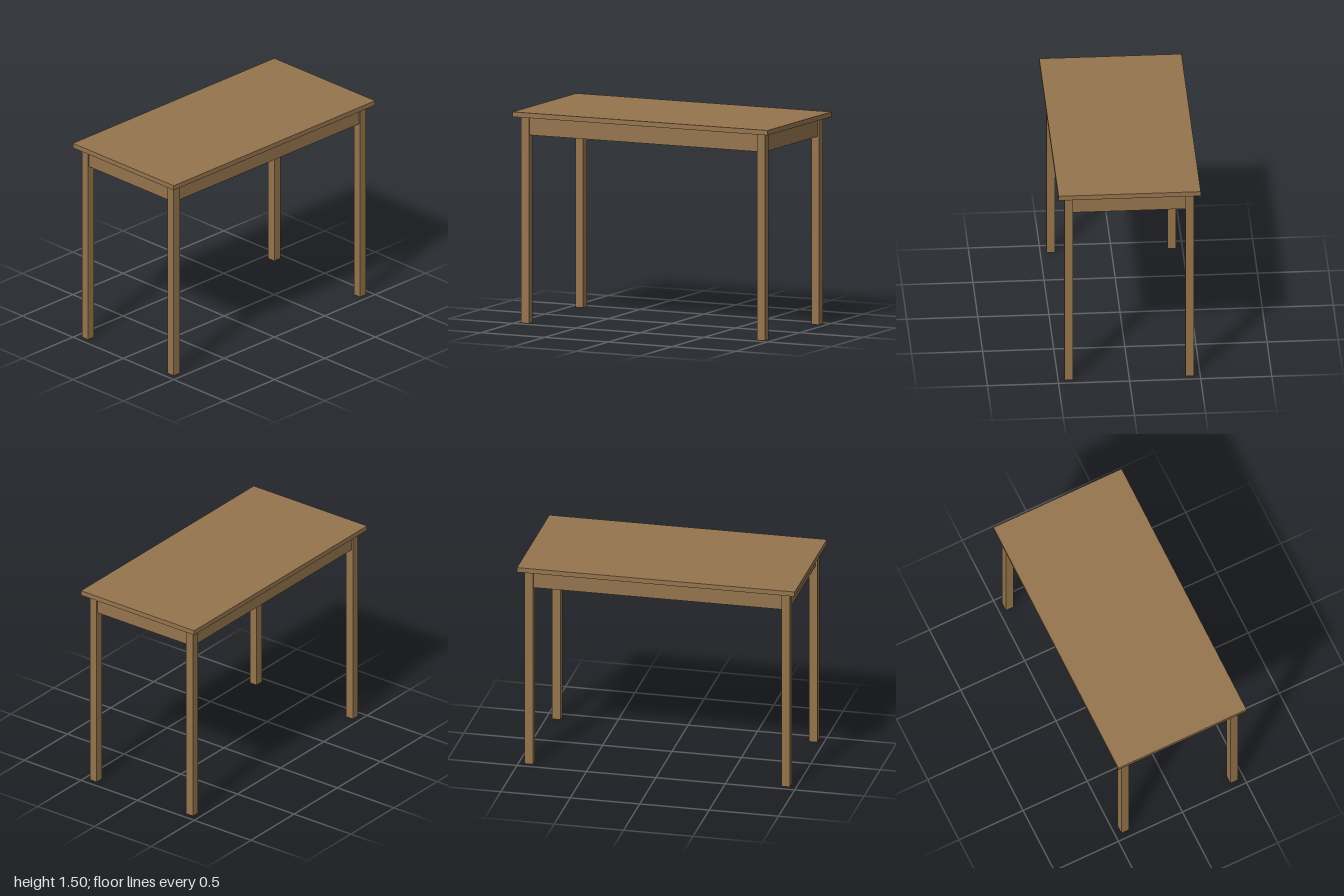
import * as THREE from 'three';

export function createModel() {
  const table = new THREE.Group();
  table.name = 'table';
  const wood = new THREE.MeshStandardMaterial({ color: 0x95744d });
  wood.name = 'wood';

  const addBox = (name, w, h, d, x, y, z) => {
    const mesh = new THREE.Mesh(new THREE.BoxGeometry(w, h, d), wood);
    mesh.name = name;
    mesh.position.set(x, y, z);
    table.add(mesh);
  };

  const height = 1.5, topThick = 0.035;
  const under = height - topThick;        // underside of the top
  const leg = 0.06, legX = 0.925, legZ = 0.425;
  const apronH = 0.13, apronThick = 0.028;
  const apronY = under - apronH / 2;
  const inset = 0.012;                    // aprons sit just behind the leg faces
  const apronOffset = leg / 2 - inset - apronThick / 2;

  // Table top
  addBox('tableTop', 2, topThick, 1, 0, height - topThick / 2, 0);

  // Square legs
  for (const [xName, sx] of [['Left', 1], ['Right', -1]]) {
    for (const [zName, sz] of [['front', 1], ['back', -1]]) {
      addBox(`${zName}${xName}Leg`, leg, under, leg, sx * legX, under / 2, sz * legZ);
    }
  }

  // Aprons between the legs
  for (const [name, s] of [['front', 1], ['back', -1]]) {
    addBox(`${name}Apron`, 2 * legX - leg, apronH, apronThick, 0, apronY, s * (legZ + apronOffset));
  }
  for (const [name, s] of [['left', 1], ['right', -1]]) {
    addBox(`${name}Apron`, apronThick, apronH, 2 * legZ - leg, s * (legX + apronOffset), apronY, 0);
  }

  return table;
}
